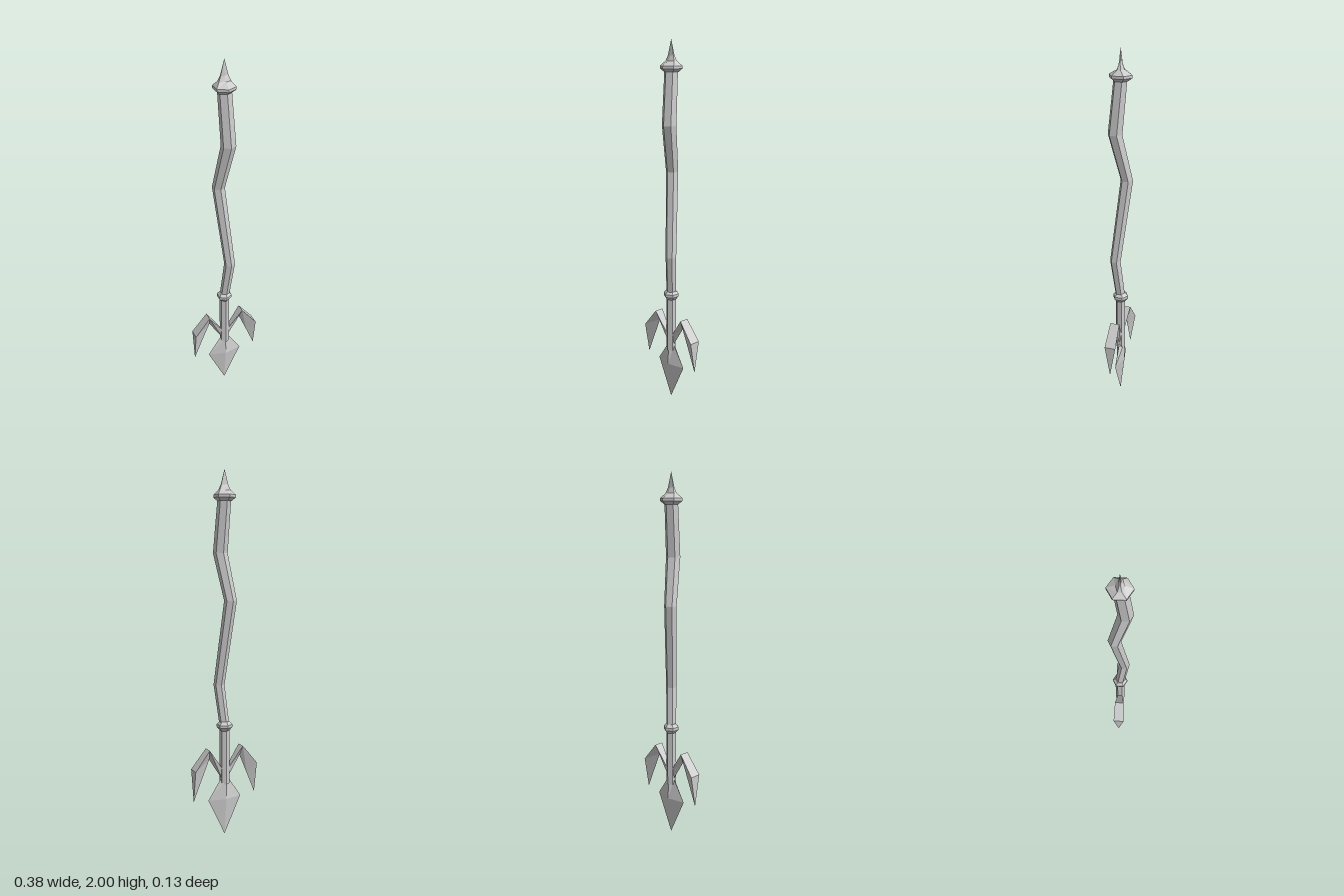
import * as THREE from 'three';

const material = new THREE.MeshStandardMaterial({ color: 0xcccccc, flatShading: true });

// Joins equal-sized rings of points into a closed, faceted skin; collapsed faces are dropped.
function loft(name, rings) {
  const pos = [];
  const tri = (...pts) => {
    const [a, b, c] = pts.map((p) => new THREE.Vector3(...p));
    if (b.clone().sub(a).cross(c.clone().sub(a)).length() > 1e-8) pts.forEach((p) => pos.push(...p));
  };
  const n = rings[0].length;
  for (let i = 0; i < rings.length - 1; i++) {
    for (let j = 0; j < n; j++) {
      const k = (j + 1) % n;
      tri(rings[i][j], rings[i][k], rings[i + 1][k]);
      tri(rings[i][j], rings[i + 1][k], rings[i + 1][j]);
    }
  }
  const first = rings[0], last = rings[rings.length - 1];
  for (let j = 1; j < n - 1; j++) {
    tri(first[0], first[j + 1], first[j]);
    tri(last[0], last[j], last[j + 1]);
  }
  const geometry = new THREE.BufferGeometry();
  geometry.setAttribute('position', new THREE.Float32BufferAttribute(pos, 3));
  geometry.computeVertexNormals();
  const mesh = new THREE.Mesh(geometry, material);
  mesh.name = name;
  return mesh;
}

// Horizontal ring with a corner on the z axis.
function ring(sides, y, rx, rz = rx, cx = 0, cz = 0) {
  return Array.from({ length: sides }, (_, j) => {
    const a = (j / sides) * Math.PI * 2;
    return [cx + Math.sin(a) * rx, y, cz + Math.cos(a) * rz];
  });
}

export function createModel() {
  const model = new THREE.Group();
  model.name = 'spear';

  // Crooked six-sided shaft: y, radius, centre x, centre z
  const bends = [
    [0.3, 0.027, 0, 0], [0.63, 0.027, 0, 0], [0.86, 0.03, 0.022, 0.023],
    [1.32, 0.034, -0.022, -0.027], [1.57, 0.039, 0.012, 0.026], [1.86, 0.036, 0, 0],
  ];
  model.add(loft('shaft', bends.map(([y, r, x, z]) => ring(6, y, r, r, x, z))));

  // Small collar above the spear head
  const collar = [[0.605, 0.027], [0.624, 0.043], [0.64, 0.043], [0.657, 0.027]];
  model.add(loft('lowerCollar', collar.map(([y, r]) => ring(6, y, r))));

  // Pommel collar running into a flattened spike: y, x radius, z radius
  const pommel = [
    [1.838, 0.038, 0.038], [1.855, 0.058, 0.061], [1.869, 0.058, 0.061],
    [1.893, 0.036, 0.02], [1.92, 0.023, 0.008], [2, 0, 0],
  ];
  model.add(loft('pommelSpike', pommel.map(([y, rx, rz]) => ring(6, y, rx, rz))));

  // Leaf-shaped blade with a central ridge
  const blade = [[0, 0, 0], [0.212, 0.1, 0.024], [0.325, 0.025, 0.022]];
  model.add(loft('blade', blade.map(([y, rx, rz]) => ring(4, y, rx, rz))));

  // Hooked side prongs, wide on the outside and sharp on the inside:
  // outer x, outer y, half width, inner x, inner y
  const prong = [
    [0.01, 0.378, 0.012, 0.01, 0.315], [0.102, 0.508, 0.026, 0.094, 0.45],
    [0.189, 0.4, 0.031, 0.142, 0.335], [0.189, 0.22, 0, 0.189, 0.22],
  ];
  const sections = prong.map(([x, y, w, ix, iy]) => [[x, y, w], [ix, iy, 0], [x, y, -w]]);
  for (const side of ['left', 'right']) {
    const mesh = loft(side + 'Prong', sections);
    if (side === 'right') mesh.rotation.y = Math.PI;
    model.add(mesh);
  }
  return model;
}
